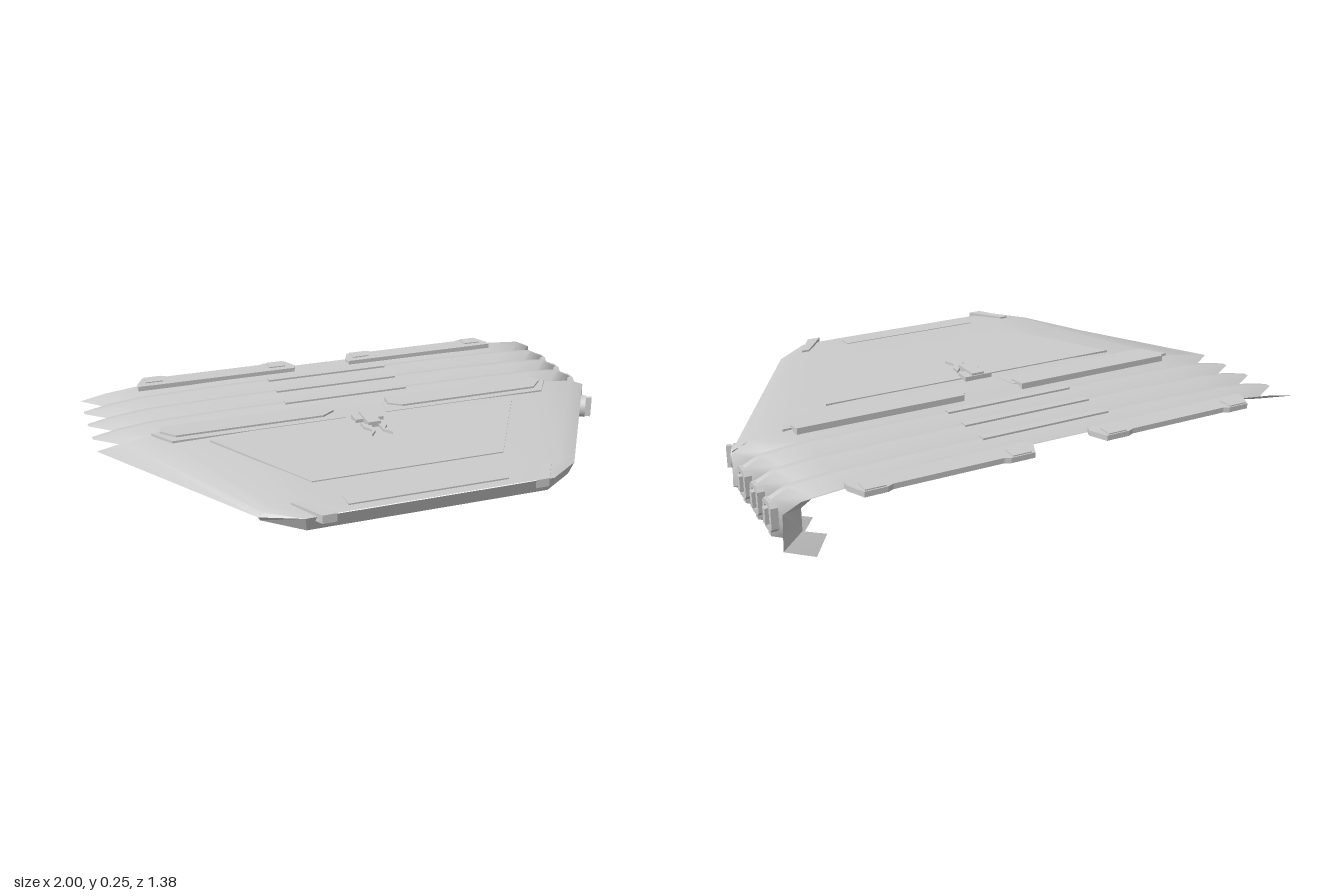
import * as THREE from 'three';
import { toCreasedNormals } from 'three/addons/utils/BufferGeometryUtils.js';

const material = new THREE.MeshStandardMaterial({ color: 0xcccccc, side: THREE.DoubleSide });

function add(parent, name, geometry) {
  const mesh = new THREE.Mesh(geometry, material);
  mesh.name = name;
  parent.add(mesh);
  return mesh;
}

// Skin through a list of cross-sections that all have the same number of points
function loft(sections, crease = 0.6) {
  const n = sections[0].length, index = [];
  for (let i = 0; i < sections.length - 1; i++) {
    for (let j = 0; j < n - 1; j++) {
      const a = i * n + j, b = a + n;
      index.push(a, a + 1, b, a + 1, b + 1, b);
    }
  }
  const g = new THREE.BufferGeometry();
  g.setAttribute('position', new THREE.Float32BufferAttribute(sections.flat(2), 3));
  g.setIndex(index);
  g.computeVertexNormals();
  return toCreasedNormals(g, crease);
}

// Flat plate from an outline of [x, z] points, between two heights
function slab(points, y0, y1) {
  const shape = new THREE.Shape(points.map(([x, z]) => new THREE.Vector2(x, -z)));
  const g = new THREE.ExtrudeGeometry(shape, { depth: y1 - y0, bevelEnabled: false });
  return g.rotateX(-Math.PI / 2).translate(0, y0, 0);
}

const rect = (x0, x1, z0, z1) => [[x0, z0], [x1, z0], [x1, z1], [x0, z1]];
const mirror = (points, s) => points.map(([x, z]) => [x * s, z]);

export function createModel() {
  const model = new THREE.Group();
  model.name = 'armourShell';

  // Front plate: tapering sheet, drooping at its right edge
  const atZ = (profile, z) => profile.map(([x, y]) => [x, y, z]);
  const wide = [[-1, 0.18], [-0.9, 0.2], [-0.78, 0.213], [-0.45, 0.22], [0.45, 0.22], [0.78, 0.215], [0.92, 0.204], [0.98, 0.18]];
  const narrow = [[-0.58, 0.19], [-0.56, 0.205], [-0.52, 0.215], [-0.4, 0.22], [0.38, 0.22], [0.5, 0.217], [0.54, 0.212], [0.56, 0.205]];
  const nose = [[-0.45, 0.212], [-0.43, 0.213], [-0.4, 0.214], [-0.3, 0.215], [0.28, 0.215], [0.38, 0.214], [0.41, 0.213], [0.43, 0.212]];
  add(model, 'frontSheet', loft([atZ(wide, -0.13), atZ(narrow, 0.57), atZ(nose, 0.67)]));

  // Skirt around the nose, running back as the tall left wall with a tucked-in lower edge
  add(model, 'skirtWall', loft([
    [[-0.58, 0.19, 0.57], [-0.45, 0.212, 0.67], [0.43, 0.212, 0.67], [0.56, 0.205, 0.57], [0.98, 0.18, -0.13]],
    [[-0.57, 0.17, 0.555], [-0.44, 0.156, 0.645], [0.42, 0.156, 0.645], [0.55, 0.153, 0.55], [0.98, 0.05, -0.13]],
    [[-0.52, 0.165, 0.53], [-0.42, 0.15, 0.61], [0.4, 0.15, 0.61], [0.48, 0.14, 0.53], [0.88, 0, -0.13]],
  ], 0.3));

  // Bellows: ridges and valleys across the back, folding down the left side
  const ridge = [...wide.slice(0, 7), [0.98, 0.175], [0.985, 0.05], [0.88, 0.005]];
  const valley = [[-0.9, 0.165], [-0.83, 0.176], [-0.75, 0.185], [-0.45, 0.19], [0.45, 0.19], [0.74, 0.187], [0.86, 0.176], [0.9, 0.15], [0.9, 0.07], [0.82, 0.04]];
  const ridgeZ = [-0.253, -0.38, -0.505];
  const folds = [atZ(ridge, -0.13), atZ(valley, -0.19)];
  ridgeZ.forEach((z, i) => {
    folds.push(atZ(ridge, z + 0.012), atZ(ridge, z - 0.012), atZ(valley, [-0.316, -0.443, -0.567][i]));
  });
  folds.push(atZ(ridge, -0.63));
  add(model, 'bellows', loft(folds, 0.75));

  // Ridge strips on top and buckles on the side of each fold
  const octagon = (w, h, c) => [[-w, -h + c], [-w + c, -h], [w - c, -h], [w, -h + c], [w, h - c], [w - c, h], [-w + c, h], [-w, h - c]]
    .map(([x, y]) => new THREE.Vector2(x, y));
  for (const z of ridgeZ) {
    add(model, 'ridgeStrip', slab(rect(-0.26, 0.24, z - 0.015, z + 0.015), 0.208, 0.225));
    const buckle = new THREE.Group();
    buckle.name = 'sideBuckle';
    buckle.position.set(0.965, 0.12, z);
    buckle.rotation.y = Math.PI / 2;
    const frame = new THREE.Shape(octagon(0.038, 0.052, 0.016));
    frame.holes.push(new THREE.Path(octagon(0.02, 0.034, 0.006)));
    add(buckle, 'buckleFrame', new THREE.ExtrudeGeometry(frame, { depth: 0.025, bevelEnabled: false }));
    add(buckle, 'buckleBlock', new THREE.BoxGeometry(0.022, 0.056, 0.03)).position.z = 0.02;
    model.add(buckle);
  }

  // Paired straps at the back edge and the front of the bellows
  const rearStrap = [[0.12, -0.6], [0.11, -0.625], [0.14, -0.69], [0.23, -0.69], [0.25, -0.68], [0.64, -0.68], [0.66, -0.69], [0.74, -0.69], [0.77, -0.625], [0.77, -0.6]];
  const frontStrap = [[0.12, -0.16], [0.76, -0.16], [0.77, -0.12], [0.72, -0.065], [0.16, -0.065], [0.11, -0.1]];
  const strapBase = [[0.1, -0.13], [0.8, -0.13], [0.74, -0.035], [0.08, -0.035]];
  const noseTab = [[0.44, 0.57], [0.47, 0.57], [0.4, 0.69], [0.35, 0.69]];
  for (const s of [-1, 1]) {
    add(model, 'rearStrap', slab(mirror(rearStrap, s), 0.203, 0.222));
    add(model, 'frontStrap', slab(mirror(frontStrap, s), 0.206, 0.229));
    add(model, 'strapBase', slab(mirror(strapBase, s), 0.212, 0.222));
    add(model, 'noseTab', slab(mirror(noseTab, s), 0.195, 0.225));
    // Raised ends of the straps
    for (const x of [0.185, 0.7]) {
      add(model, 'strapEnd', slab(mirror(rect(x - 0.035, x + 0.035, -0.685, -0.63), s), 0.215, 0.226));
    }
  }

  // Hatch and front slot
  add(model, 'hatch', slab([[-0.61, 0.005], [0.59, 0.005], [0.345, 0.445], [-0.36, 0.445]], 0.215, 0.224));
  add(model, 'frontSlot', slab(rect(-0.295, 0.275, 0.575, 0.635), 0.209, 0.222));

  // Latch with two curved prongs
  const latch = new THREE.Group();
  latch.name = 'latch';
  latch.position.x = -0.01;
  add(latch, 'latchBase', slab(rect(-0.055, 0.055, -0.025, 0.035), 0.218, 0.237));
  add(latch, 'latchBar', slab(rect(-0.025, 0.025, -0.02, 0.09), 0.22, 0.245));
  for (const s of [-1, 1]) {
    const prong = [[0.015, 0.09], [0.045, 0.06], [0.045, 0.1], [0.025, 0.13], [0.04, 0.175], [0.015, 0.14]];
    add(latch, 'latchProng', slab(mirror(prong, s), 0.22, 0.234));
  }
  model.add(latch);

  // Round turn-knob on the left wall
  const knob = new THREE.Group();
  knob.name = 'sideKnob';
  knob.position.set(0.935, 0.12, -0.05);
  knob.rotation.y = 1.03;
  add(knob, 'knobDisc', new THREE.CylinderGeometry(0.044, 0.044, 0.035, 24).rotateX(Math.PI / 2));
  add(knob, 'knobGrip', new THREE.BoxGeometry(0.016, 0.08, 0.03)).position.z = 0.025;
  model.add(knob);

  return model;
}
